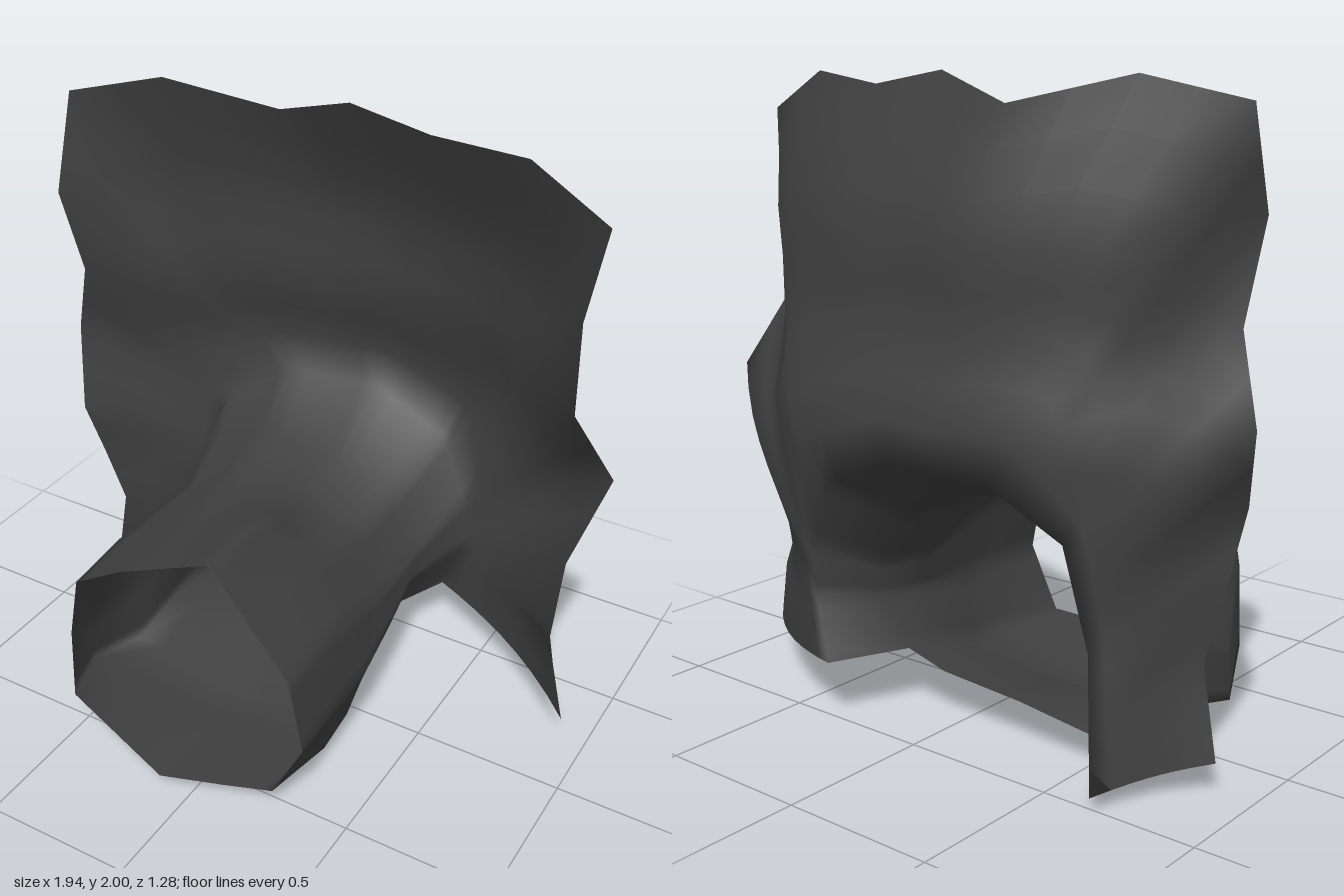
import * as THREE from 'three';

const ARC = 41;   // points around the walls and roof of the sleeve
const LOOP = 55;  // the same plus the sleeve floor

// Straight-sided line through corner points, each side cut into equal steps
function cutLine(corners, steps, closed) {
  const pts = corners.map(p => new THREE.Vector3(...p));
  const sides = closed ? pts.length : pts.length - 1;
  const out = [];
  for (let i = 0; i < sides; i++) {
    for (let s = 0; s < steps; s++) {
      out.push(pts[i].clone().lerp(pts[(i + 1) % pts.length], s / steps));
    }
  }
  if (!closed) out.push(pts[pts.length - 1]);
  return out;
}

// Sleeve section: lower left, over the top, lower right, then back along the floor
const sleeveRing = (z, pts) => cutLine(pts.map(([x, y, pz]) => [x, y, pz ?? z]), 5, true);

// Depth of the bowed panel at x, y
function panelDepth({ x, y }) {
  const stops = [[0, -0.53], [0.5, -0.56], [1, -0.66], [1.28, -0.54], [1.6, -0.53], [2.01, -0.34]];
  let i = 0;
  while (i < stops.length - 2 && y > stops[i + 1][0]) i++;
  const [y0, z0] = stops[i], [y1, z1] = stops[i + 1];
  const mid = THREE.MathUtils.lerp(z0, z1, (y - y0) / (y1 - y0));
  return mid + (-0.17 - mid) * Math.pow(Math.abs(x) / 0.93, 2.5);
}

export function createModel() {
  const group = new THREE.Group();
  group.name = 'drapedSheet';
  const cloth = new THREE.MeshStandardMaterial({ color: 0x404040, side: THREE.DoubleSide });
  cloth.name = 'charcoal cloth';

  // Sleeve sections from the open front end to the back
  const rings = [
    sleeveRing(0.55, [[-0.51, 0.13], [-0.5, 0.4], [-0.46, 0.62], [-0.28, 0.73], [0.05, 0.88],
      [0.18, 0.72], [0.32, 0.55], [0.37, 0.3], [0.26, 0.08], [0.1, 0.06, 0.59], [-0.1, 0.05, 0.65]]),
    sleeveRing(0.29, [[-0.63, 0.05], [-0.62, 0.22], [-0.49, 0.61], [-0.26, 0.74], [0.05, 0.875],
      [0.18, 0.72], [0.32, 0.55], [0.36, 0.3], [0.3, 0.07], [0.1, 0.04], [-0.1, 0.02]]),
    sleeveRing(0.12, [[-0.55, 0.06], [-0.53, 0.32], [-0.49, 0.61], [-0.26, 0.74], [0.03, 0.81],
      [0.18, 0.69], [0.32, 0.51], [0.355, 0.3], [0.29, 0.08], [0.1, 0.03], [-0.07, 0, 0.14]]),
    sleeveRing(-0.08, [[-0.53, 0.13], [-0.51, 0.36], [-0.47, 0.62], [-0.27, 0.75], [-0.02, 0.72],
      [0.18, 0.63], [0.3, 0.45], [0.33, 0.32], [0.22, 0.16], [0.05, 0.11, 0], [-0.12, 0.08, 0.03]]),
    sleeveRing(-0.3, [[-0.58, 0.1], [-0.54, 0.4], [-0.51, 0.7], [-0.28, 0.79], [0, 0.74],
      [0.19, 0.64], [0.3, 0.46], [0.3, 0.36], [0.2, 0.2], [0.05, 0.16], [-0.25, 0.14]]),
  ];

  // Flared rim where the sleeve opens into the panel
  const rim = cutLine([
    [-0.68, 0.05, -0.53], [-0.62, 0.43, -0.46], [-0.56, 0.74, -0.5], [-0.34, 0.89, -0.57],
    [0, 0.9, -0.6], [0.26, 0.79, -0.58], [0.38, 0.57, -0.54], [0.38, 0.4, -0.52], [0.31, 0.2, -0.55],
  ], 5, false);

  // Ragged outer edge of the panel, two steps per corner
  const edge = cutLine([
    [-0.89, 0.1, -0.22], [-0.83, 0.38, -0.2], [-0.87, 0.6, -0.15], [-0.89, 0.81, -0.08],
    [-0.97, 1.06, -0.19], [-0.89, 1.32, -0.14], [-0.91, 1.62, -0.06], [-0.93, 1.92, -0.18],
    [-0.63, 1.99, -0.27], [-0.28, 1.91, -0.4], [0, 2, -0.34], [0.28, 1.96, -0.32],
    [0.64, 2, -0.2], [0.91, 1.88, -0.14], [0.87, 1.6, -0.11], [0.88, 1.31, -0.1],
    [0.97, 1.03, -0.26], [0.89, 0.76, -0.15], [0.88, 0.5, -0.11], [0.87, 0.32, -0.2], [0.93, 0.13, -0.17],
  ], 2, false);

  // Panel rows follow the bow, easing into the rim and the outer edge
  rings.push(rim);
  for (const t of [0.12, 0.24, 0.36, 0.48, 0.6, 0.73, 0.87]) {
    rings.push(rim.map((p, k) => {
      const e = edge[k];
      const q = p.clone().lerp(e, t);
      q.z = panelDepth(q) + (e.z - panelDepth(e)) * t * t
        + (p.z - panelDepth(p)) * (1 - t) ** 3;
      return q;
    }));
  }
  rings.push(edge);

  // Join neighbouring rings; only the sleeve closes across its floor
  const positions = [], index = [], starts = [];
  for (const ring of rings) {
    starts.push(positions.length / 3);
    for (const p of ring) positions.push(p.x, p.y, p.z);
  }
  for (let r = 0; r < rings.length - 1; r++) {
    const closed = rings[r + 1].length === LOOP;
    const count = closed ? LOOP : ARC - 1;
    for (let k = 0; k < count; k++) {
      const n = closed ? (k + 1) % LOOP : k + 1;
      const a = starts[r] + k, b = starts[r] + n;
      const c = starts[r + 1] + k, d = starts[r + 1] + n;
      index.push(a, c, b, b, c, d);
    }
  }
  const geometry = new THREE.BufferGeometry();
  geometry.setAttribute('position', new THREE.Float32BufferAttribute(positions, 3));
  geometry.setIndex(index);
  geometry.computeVertexNormals();

  const sheet = new THREE.Mesh(geometry, cloth);
  sheet.name = 'panelWithSleeve';
  group.add(sheet);
  return group;
}
